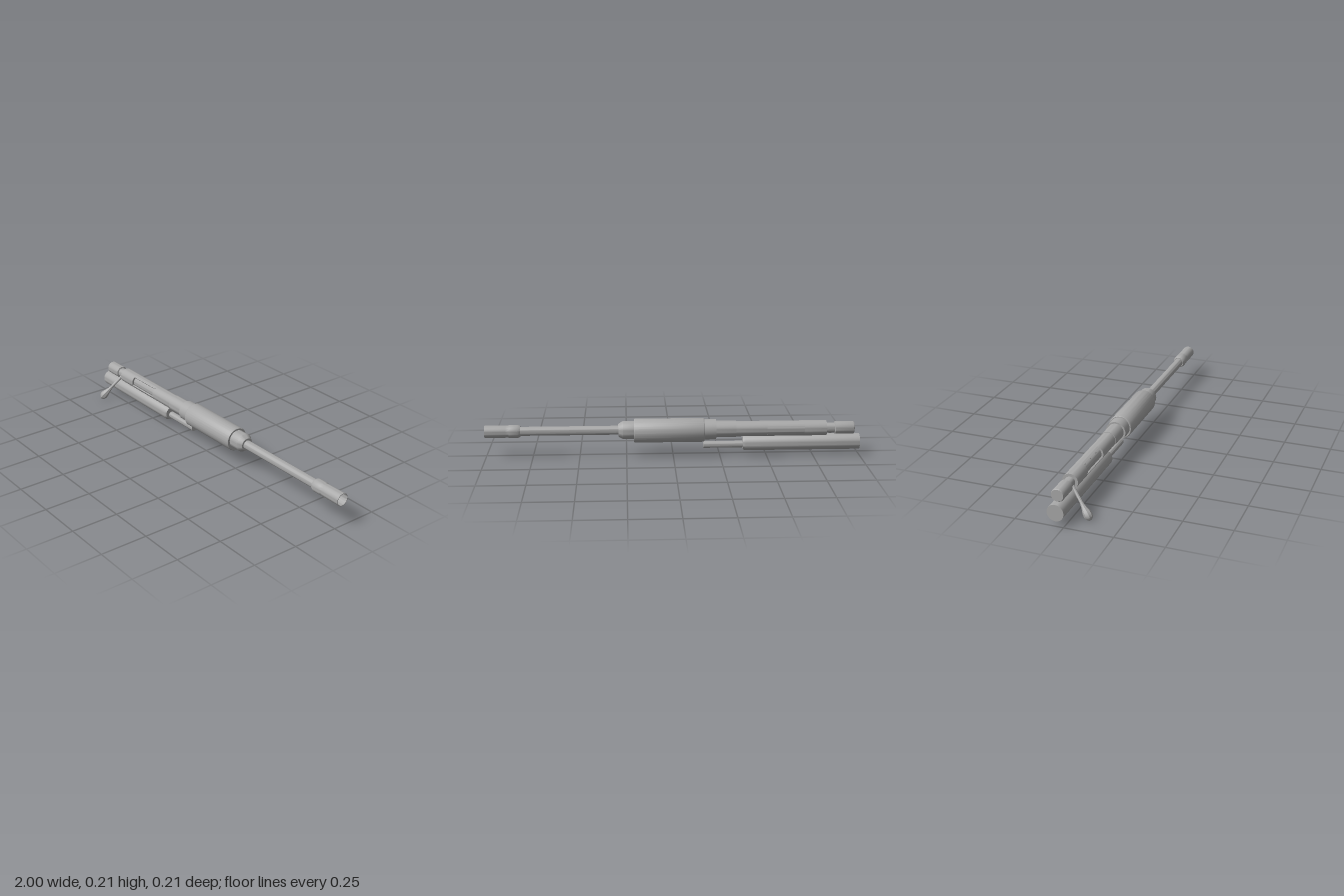
import * as THREE from 'three';
import { toCreasedNormals } from 'three/addons/utils/BufferGeometryUtils.js';

const AXIS_Y = 0.147, AXIS_Z = -0.041;
const rad = THREE.MathUtils.degToRad;

export function createModel() {
  const group = new THREE.Group();
  const steel = new THREE.MeshStandardMaterial({ color: 0xa8a8a8 });
  steel.name = 'grey steel';

  const add = (name, geometry) => {
    const mesh = new THREE.Mesh(toCreasedNormals(geometry, rad(32)), steel);
    mesh.name = name;
    group.add(mesh);
    return mesh;
  };

  // Turned part lying along x; profile is a list of [x, radius] from rear to front
  const turned = (name, profile, y = AXIS_Y, sides = 32) => {
    const points = profile.map(([x, r]) => new THREE.Vector2(r, x));
    const mesh = add(name, new THREE.LatheGeometry(points, sides).rotateZ(-Math.PI / 2));
    mesh.position.set(0, y, AXIS_Z);
    return mesh;
  };
  const rod = (name, x0, x1, r, y) => turned(name, [[x0, 0], [x0, r], [x1, r], [x1, 0]], y);

  // Bolt with its thicker rear end
  turned('bolt', [[-0.97, 0], [-0.97, 0.031], [-0.965, 0.034], [-0.868, 0.034], [-0.865, 0.026],
    [-0.82, 0.026], [-0.82, 0.031], [-0.4, 0.031], [-0.4, 0]]);

  // Receiver: rings before and after the loading port
  const tube = (name, x0, x1, r, inner) =>
    turned(name, [[x0, inner], [x0, r], [x1, r], [x1, inner], [x0, inner]]);
  tube('receiverRear', -0.82, -0.7, 0.041, 0.026);
  tube('receiverFront', -0.5, -0.33, 0.041, 0.03);

  // Receiver wall beside the port, open towards the upper front
  const wall = new THREE.Shape();
  const from = rad(200), to = rad(485);
  wall.absarc(0, 0, 0.041, from, to, false);
  wall.absarc(0, 0, 0.034, to, from, true);
  const wallGeometry = new THREE.ExtrudeGeometry(wall, { depth: 0.2, bevelEnabled: false, curveSegments: 28 });
  add('receiverPortWall', wallGeometry.rotateY(Math.PI / 2)).position.set(-0.7, AXIS_Y, AXIS_Z);

  // Chamber, collar and large sleeve
  rod('chamber', -0.335, -0.22, 0.044, AXIS_Y);
  rod('rearCollar', -0.227, -0.16, 0.054, 0.146);
  turned('sleeve', [[-0.165, 0], [-0.165, 0.061], [-0.16, 0.064], [0.205, 0.064], [0.21, 0.061], [0.21, 0]], 0.143);
  turned('frontCollar', [[0.2, 0], [0.2, 0.049], [0.268, 0.049], [0.293, 0.034], [0.293, 0]]);

  // Barrel with a hollow muzzle
  rod('barrel', 0.28, 0.89, 0.024, AXIS_Y);
  turned('muzzle', [[0.812, 0.02], [0.812, 0.029], [0.825, 0.035], [0.868, 0.035], [0.878, 0.032],
    [0.89, 0.033], [1, 0.034], [1, 0.031], [0.88, 0.031], [0.88, 0]]);

  // Lower cylinder and its piston rod
  turned('lowerCylinder', [[-1, 0], [-1, 0.043], [-0.385, 0.043], [-0.372, 0.036], [-0.372, 0]], 0.071);
  rod('pistonRod', -0.38, -0.16, 0.018, 0.061);

  // Bolt handle: slim arm swelling into a teardrop knob
  const start = new THREE.Vector3(-0.838, 0.138, -0.02);
  const end = new THREE.Vector3(-0.898, 0.006, 0.094);
  const reach = end.clone().sub(start);
  const length = reach.length();
  const outline = [[0, 0], [0, 0.008], [0.5, 0.0085], [0.62, 0.012], [0.76, 0.02], [0.87, 0.0225],
    [0.95, 0.017], [1, 0.007], [1, 0]].map(([t, r]) => new THREE.Vector2(r, t * length));
  const handle = add('boltHandle', new THREE.LatheGeometry(outline, 8));
  handle.position.copy(start);
  handle.quaternion.setFromUnitVectors(new THREE.Vector3(0, 1, 0), reach.normalize());

  return group;
}
